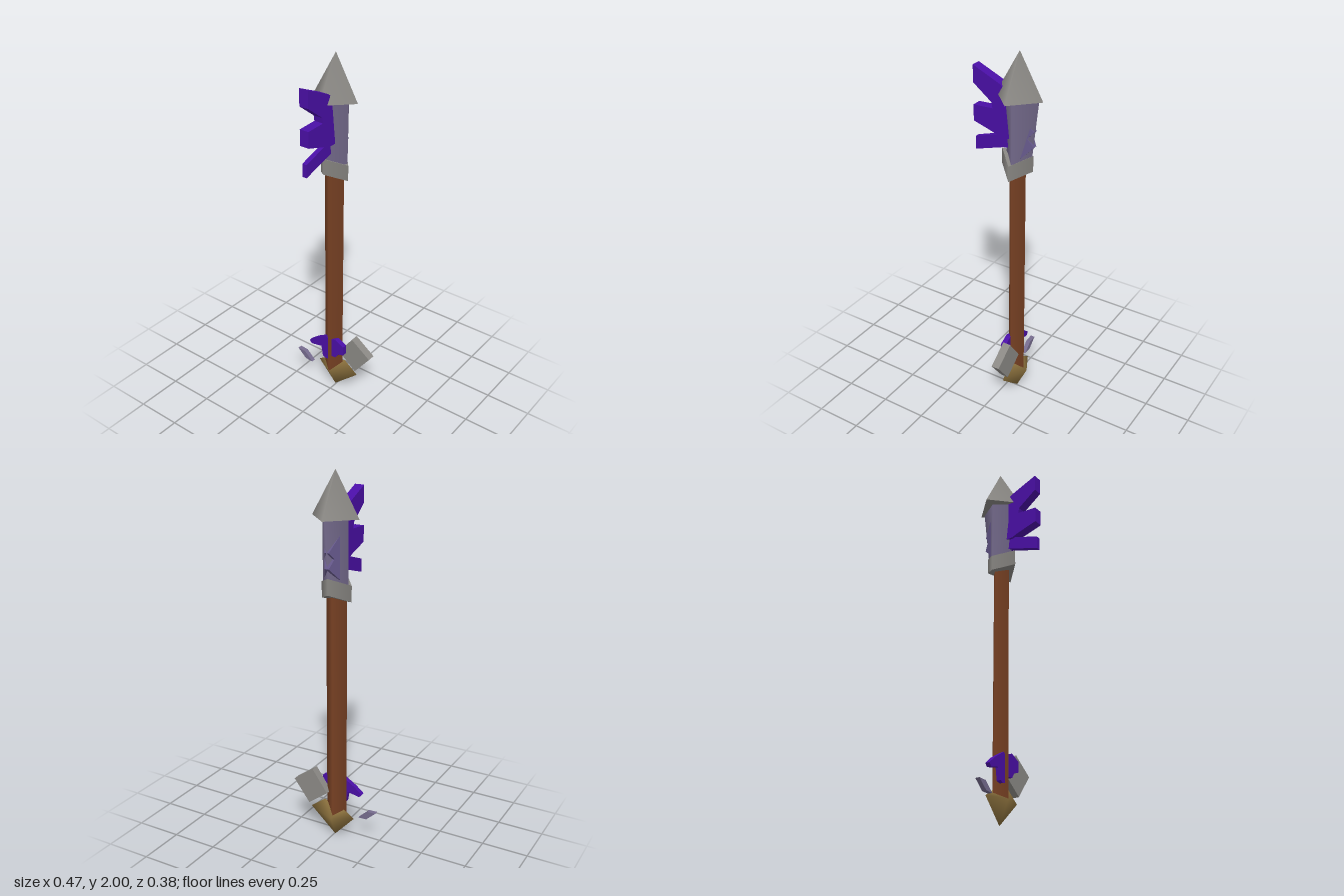
import * as THREE from 'three';

const mat = (name, color) => {
  const m = new THREE.MeshStandardMaterial({ color });
  m.name = name;
  return m;
};

export function createModel() {
  const steel = mat('steel grey', 0x8b8985);
  const wood = mat('brown wood', 0x7a4224);
  const lilac = mat('lilac grey', 0x766c8e);
  const dusk = mat('dusky purple', 0x66598c);
  const purple = mat('deep purple', 0x4a0fa6);
  const brass = mat('dull brass', 0x8d723e);

  const model = new THREE.Group();
  model.name = 'spear';
  const add = (name, geometry, material) => {
    const mesh = new THREE.Mesh(geometry, material);
    mesh.name = name;
    model.add(mesh);
    return mesh;
  };

  const CX = -0.01;

  // Four-sided tapered prism with edges on the x and z axes
  const diamond = (y0, y1, [bx, bz], [tx, tz], cz = -0.047) => {
    const g = new THREE.CylinderGeometry(1, 1, y1 - y0, 4, 1);
    const p = g.attributes.position;
    for (let i = 0; i < p.count; i++) {
      const top = p.getY(i) > 0;
      p.setX(i, p.getX(i) * (top ? tx : bx));
      p.setZ(i, p.getZ(i) * (top ? tz : bz));
    }
    return g.translate(CX, (y0 + y1) / 2, cz);
  };

  // Flat outline given thickness along z
  const plate = (points, z0, z1) => {
    const shape = new THREE.Shape(points.map(([x, y]) => new THREE.Vector2(x, y)));
    return new THREE.ExtrudeGeometry(shape, { depth: z1 - z0, bevelEnabled: false }).translate(0, 0, z0);
  };

  // Outline drawn in (z, y), given thickness along x
  const sidePlate = (points, x0, x1) =>
    plate(points, -x1, -x0).rotateY(-Math.PI / 2);

  // Shaft and head
  add('shaft', diamond(0.13, 1.42, [0.06, 0.048], [0.06, 0.048]), wood);
  add('headSocket', diamond(1.42, 1.78, [0.073, 0.068], [0.073, 0.108], -0.057), lilac);
  const tip = new THREE.ConeGeometry(1, 0.23, 4).scale(0.132, 1, 0.13);
  add('tip', tip.translate(CX, 1.885, -0.056), steel);

  // Collar whose front and back edges sit higher than its sides
  const collar = diamond(1.35, 1.435, [0.086, 0.09], [0.086, 0.09]);
  const cp = collar.attributes.position;
  for (let i = 0; i < cp.count; i++) {
    cp.setY(i, cp.getY(i) + 0.045 * Math.min(1, Math.abs(cp.getZ(i) + 0.047) / 0.09));
  }
  add('collar', collar, steel);

  // Forward fins on the head
  add('upperFins', sidePlate([
    [-0.02, 1.78], [0.04, 1.825], [0.19, 1.89], [0.19, 1.8], [0.085, 1.72], [0.08, 1.69],
    [0.19, 1.685], [0.19, 1.6], [0.075, 1.565], [0.04, 1.55], [-0.02, 1.55],
  ], -0.034, 0.018), purple);
  add('lowerFin', sidePlate([
    [-0.02, 1.57], [0.05, 1.555], [0.19, 1.51], [0.19, 1.44], [0.03, 1.49], [-0.02, 1.5],
  ], -0.022, 0.004), purple);

  // Tapered barbs at the back of the head
  for (const [top, mid, low] of [[1.69, 1.61, 1.545], [1.62, 1.53, 1.47]]) {
    const g = sidePlate([[-0.09, low], [-0.145, mid], [-0.09, top]], -0.04, 0.04);
    const p = g.attributes.position;
    for (let i = 0; i < p.count; i++) {
      p.setX(i, CX + p.getX(i) * (p.getZ(i) < -0.12 ? 0.3 : 1.1));
    }
    g.computeVertexNormals();
    add('backBarb', g, dusk);
  }

  // Pommel: an outline joined to a front and a back ridge point
  const outline = [[-0.005, 0.005], [0.145, 0.14], [0.06, 0.205], [-0.01, 0.155], [-0.06, 0.17], [-0.12, 0.13]];
  const pos = [CX, 0.13, 0.0, CX, 0.13, -0.115];
  outline.forEach(([x, y]) => pos.push(x, y, -0.056));
  const index = [];
  outline.forEach((_, i) => {
    const a = 2 + i, b = 2 + ((i + 1) % outline.length);
    index.push(0, a, b, 1, b, a);
  });
  const pommel = new THREE.BufferGeometry();
  pommel.setAttribute('position', new THREE.Float32BufferAttribute(pos, 3));
  pommel.setIndex(index);
  pommel.computeVertexNormals();
  pommel.translate(0, -0.005, 0);
  pommel.translate(0, 0.005, 0);
  add('pommel', pommel, brass);

  // Ornaments near the foot of the shaft
  add('rightWing', plate([
    [-0.155, 0.275], [-0.14, 0.258], [-0.07, 0.272], [-0.06, 0.21], [-0.045, 0.2],
    [-0.015, 0.205], [-0.015, 0.34], [-0.035, 0.357], [-0.11, 0.312],
  ], -0.034, -0.01), purple);
  add('leftWing', plate([
    [0.003, 0.24], [0.03, 0.24], [0.05, 0.27], [0.085, 0.28], [0.085, 0.335], [0.03, 0.363], [0.003, 0.355],
  ], -0.034, -0.006), purple);
  add('squarePlate', plate([
    [0.118, 0.383], [0.03, 0.26], [0.142, 0.175], [0.235, 0.298],
  ], -0.086, -0.042), steel);
  add('smallShard', plate([
    [-0.237, 0.182], [-0.182, 0.132], [-0.135, 0.13], [-0.188, 0.18],
  ], -0.03, -0.006), lilac);

  return model;
}
